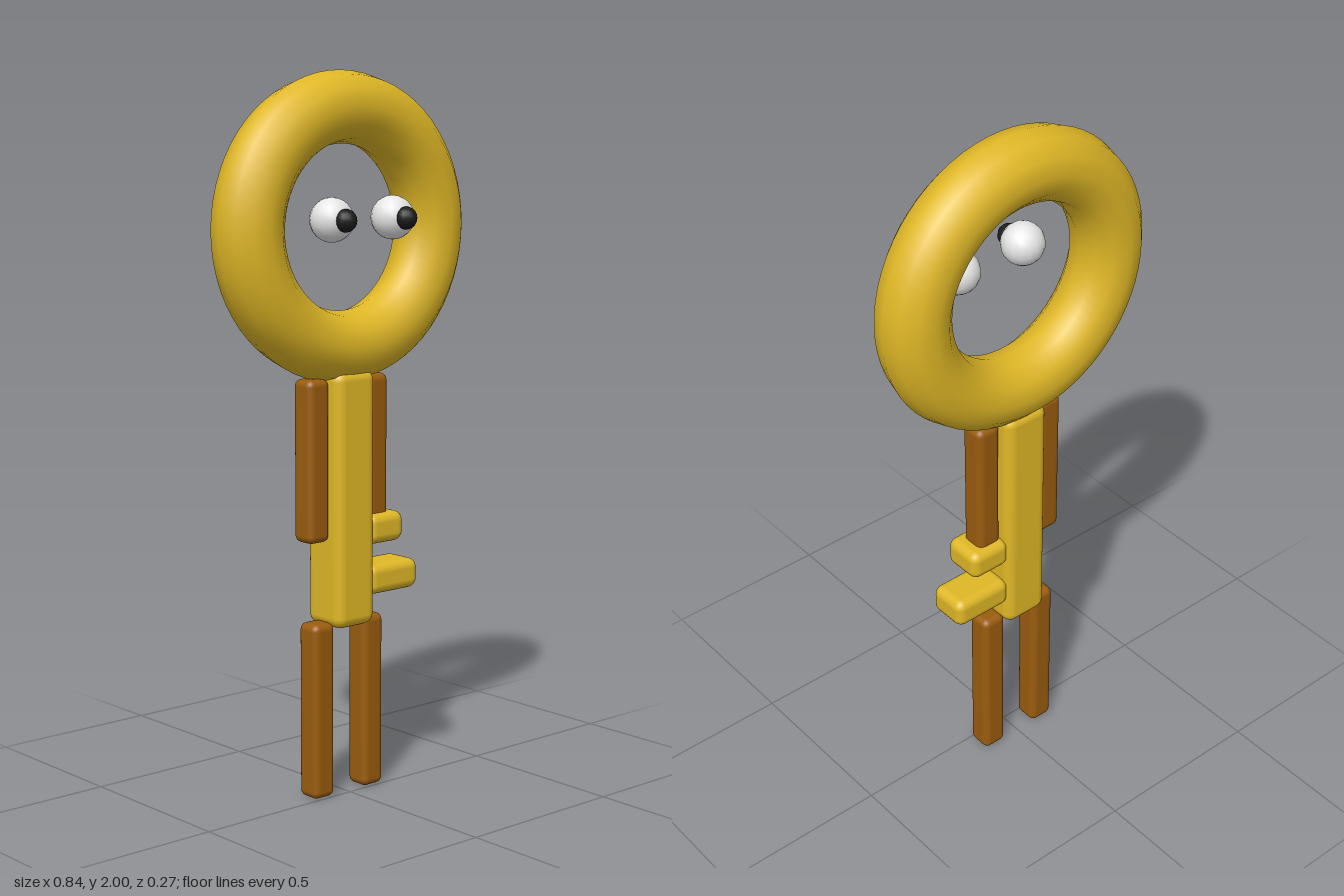
import * as THREE from 'three';
import { RoundedBoxGeometry } from 'three/addons/geometries/RoundedBoxGeometry.js';

const material = (name, color) => {
  const m = new THREE.MeshStandardMaterial({ color });
  m.name = name;
  return m;
};

export function createModel() {
  const model = new THREE.Group();
  model.name = 'keyFigure';
  const gold = material('gold', 0xdfb726);
  const brown = material('brown', 0x9a5c0e);
  const white = material('eyeWhite', 0xe6e6e6);
  const black = material('pupilBlack', 0x1c1c1c);
  const midZ = -0.037;

  const add = (name, geometry, mat, x, y, z) => {
    const mesh = new THREE.Mesh(geometry, mat);
    mesh.name = name;
    mesh.position.set(x, y, z);
    model.add(mesh);
  };

  // Rounded block given by its x and y extents and its depth
  const block = (name, mat, x0, x1, y0, y1, depth, radius) =>
    add(name, new RoundedBoxGeometry(x1 - x0, y1 - y0, depth, 3, radius), mat,
      (x0 + x1) / 2, (y0 + y1) / 2, midZ);

  // Ring head
  add('ringHead', new THREE.TorusGeometry(0.323, 0.098, 12, 64), gold, 0, 1.579, midZ);

  // Shaft and the two teeth on its left side
  block('shaft', gold, -0.07, 0.07, 0.48, 1.195, 0.14, 0.03);
  block('upperTooth', gold, 0.057, 0.185, 0.7, 0.785, 0.122, 0.026);
  block('lowerTooth', gold, 0.057, 0.24, 0.557, 0.642, 0.122, 0.026);

  for (const [side, s] of [['left', 1], ['right', -1]]) {
    // Limbs
    const arm = s * 0.107, leg = s * 0.09, half = 0.0375;
    block(side + 'Arm', brown, arm - half, arm + half, 0.725, 1.175, 0.075, 0.02);
    block(side + 'Leg', brown, leg - half, leg + half, 0, 0.497, 0.075, 0.02);
    // Eyes
    add(side + 'Eye', new THREE.SphereGeometry(0.06, 16, 12), white, s * 0.109, 1.606, 0.05);
    add(side + 'Pupil', new THREE.SphereGeometry(0.031, 12, 10), black, s * 0.108, 1.606, 0.105);
  }
  return model;
}
